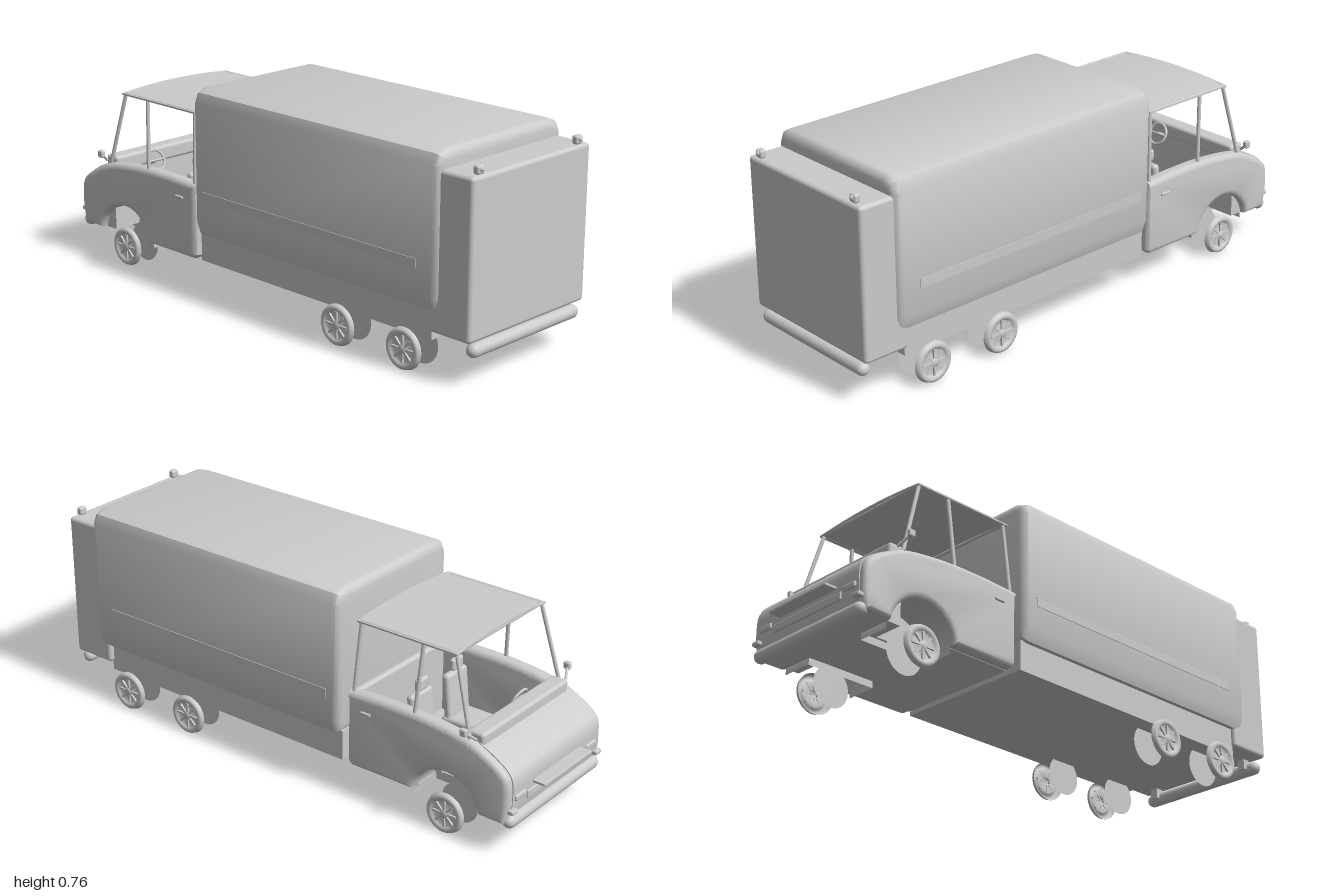
import * as THREE from 'three';
import { toCreasedNormals } from 'three/addons/utils/BufferGeometryUtils.js';
import { RoundedBoxGeometry } from 'three/addons/geometries/RoundedBoxGeometry.js';

const grey = new THREE.MeshStandardMaterial({ color: 0xcccccc });
const greyThin = new THREE.MeshStandardMaterial({ color: 0xcccccc, side: THREE.DoubleSide });

export function createModel() {
  const model = new THREE.Group();

  const add = (name, geometry, x = 0, y = 0, z = 0, parent = model, material = grey) => {
    const mesh = new THREE.Mesh(geometry, material);
    mesh.name = name;
    mesh.position.set(x, y, z);
    parent.add(mesh);
    return mesh;
  };
  // box given by its limits, optionally with rounded edges
  const block = (name, [x0, x1], [y0, y1], [z0, z1], r = 0, parent = model) => {
    const size = [x1 - x0, y1 - y0, z1 - z0];
    const geometry = r ? new RoundedBoxGeometry(...size, 3, r) : new THREE.BoxGeometry(...size);
    return add(name, geometry, (x0 + x1) / 2, (y0 + y1) / 2, (z0 + z1) / 2, parent);
  };
  const rod = (name, a, b, r, parent = model) => {
    const path = new THREE.LineCurve3(new THREE.Vector3(...a), new THREE.Vector3(...b));
    return add(name, new THREE.TubeGeometry(path, 1, r, 8), 0, 0, 0, parent);
  };
  // extrusion centred on its depth, with the bevel kept inside the outline
  const extrude = (shape, depth, bevel, segments = 3) => {
    const g = new THREE.ExtrudeGeometry(shape, {
      depth: depth - 2 * bevel, bevelEnabled: bevel > 0, bevelSize: bevel, bevelOffset: -bevel,
      bevelThickness: bevel, bevelSegments: segments, curveSegments: 20,
    });
    g.translate(0, 0, -(depth - 2 * bevel) / 2);
    return toCreasedNormals(g, 0.6);
  };
  const polygon = (points) => new THREE.Shape(points.map(([a, b]) => new THREE.Vector2(a, b)));

  // ---- cargo body ----
  const half = [[0.288, 0.235], [0.304, 0.28], [0.304, 0.715], [0.289, 0.75], [0.25, 0.765]];
  const section = [...half, ...half.map(([x, y]) => [-x, y]).reverse()];
  add('cargoBox', extrude(polygon(section), 1.14, 0.03), 0, 0, 0.29);
  block('rearCompartment', [-0.29, 0.29], [0.163, 0.703], [0.81, 0.985], 0.014);
  block('chassisSkirt', [-0.272, 0.272], [0.13, 0.24], [-0.275, 0.815]);
  for (const s of [-1, 1]) {
    const side = s > 0 ? 'left' : 'right';
    add(side + 'SideRail', new THREE.BoxGeometry(0.006, 0.033, 1.0), s * 0.3035, 0.383, 0.27);
    // roof edge lamps
    const lamp = new THREE.Group();
    lamp.name = side + 'RearLamp';
    lamp.position.set(s * 0.243, 0.718, 0.966);
    model.add(lamp);
    add('lampBody', new RoundedBoxGeometry(0.032, 0.03, 0.024, 3, 0.008), 0, 0, 0, lamp);
    add('lampLens', new THREE.SphereGeometry(0.009, 12, 8), 0, 0.003, 0.01, lamp);
    add('lampFoot', new THREE.CylinderGeometry(0.006, 0.008, 0.02, 10), 0, -0.015, 0, lamp);
  }

  // ---- bumpers ----
  const bumper = (name, z) => {
    const g = new THREE.CapsuleGeometry(0.024, 0.492, 6, 16).rotateZ(Math.PI / 2);
    add(name, g, 0, 0.131, z);
    for (const s of [-1, 1]) {
      block(name + 'Bracket', s > 0 ? [0.2, 0.23] : [-0.23, -0.2], [0.125, 0.172],
        z > 0 ? [0.93, 0.96] : [-0.935, -0.91]);
    }
  };
  bumper('rearBumper', 0.967);
  bumper('frontBumper', -0.938);

  // ---- cab ----
  const cab = new THREE.Group();
  cab.name = 'cab';
  model.add(cab);
  const axleZ = -0.7, archY = 0.1, archR = 0.135;
  const archA = Math.asin((0.125 - archY) / archR);

  // sides with wheel arches
  const sideShape = new THREE.Shape();
  sideShape.moveTo(-0.3, 0.14);
  sideShape.lineTo(-0.3, 0.405);
  sideShape.splineThru([[-0.45, 0.411], [-0.61, 0.408], [-0.77, 0.388], [-0.86, 0.352], [-0.925, 0.31],
    [-0.946, 0.27], [-0.948, 0.19]].map((p) => new THREE.Vector2(...p)));
  sideShape.lineTo(-0.935, 0.125);
  sideShape.lineTo(axleZ - archR * Math.cos(archA), 0.125);
  sideShape.absarc(axleZ, archY, archR, Math.PI - archA, archA, true);
  sideShape.lineTo(-0.315, 0.125);
  const sideGeometry = extrude(sideShape, 0.056, 0.02).rotateY(-Math.PI / 2);

  // nose between the sides
  const nose = new THREE.Shape();
  nose.moveTo(-0.78, 0.125);
  nose.lineTo(-0.935, 0.125);
  nose.lineTo(-0.95, 0.19);
  nose.splineThru([[-0.95, 0.27], [-0.928, 0.312], [-0.86, 0.356], [-0.78, 0.389]]
    .map((p) => new THREE.Vector2(...p)));
  add('nose', extrude(nose, 0.505, 0).rotateY(-Math.PI / 2), 0, 0, 0, cab);
  block('dashboard', [-0.25, 0.25], [0.35, 0.408], [-0.83, -0.765], 0.012, cab);
  block('backWall', [-0.265, 0.265], [0.13, 0.408], [-0.332, -0.303], 0.012, cab);
  block('floor', [-0.14, 0.14], [0.125, 0.14], [-0.79, -0.31], 0, cab);
  block('grille', [-0.17, 0.17], [0.185, 0.215], [-0.956, -0.94], 0.005, cab);
  block('frontPlate', [-0.145, 0.14], [0.23, 0.24], [-0.998, -0.94], 0.003, cab);

  for (const s of [-1, 1]) {
    const side = s > 0 ? 'left' : 'right';
    const span = (a, b) => (s > 0 ? [a, b] : [-b, -a]);
    add(side + 'CabSide', sideGeometry, s * 0.253, 0, 0, cab);
    block(side + 'FloorEdge', span(0.13, 0.24), [0.125, 0.14], [-0.57, -0.31], 0, cab);
    // wheel well
    const well = new THREE.CylinderGeometry(archR, archR, 0.12, 24, 1, true, 0, Math.PI).rotateZ(Math.PI / 2);
    add(side + 'WheelWell', well, s * 0.19, archY, axleZ, cab, greyThin);
    const wall = new THREE.CircleGeometry(archR, 24, 0, Math.PI).rotateY(Math.PI / 2);
    add(side + 'WellWall', wall, s * 0.13, archY, axleZ, cab, greyThin);
    // window pillars
    rod(side + 'FrontPillar', [s * 0.262, 0.385, -0.785], [s * 0.243, 0.66, -0.71], 0.007, cab);
    rod(side + 'DoorPillar', [s * 0.264, 0.4, -0.567], [s * 0.246, 0.66, -0.585], 0.007, cab);
    rod(side + 'RearPillar', [s * 0.262, 0.4, -0.316], [s * 0.243, 0.66, -0.332], 0.007, cab);
    rod(side + 'RoofRail', [s * 0.245, 0.659, -0.712], [s * 0.245, 0.659, -0.33], 0.006, cab);
    // door mirror, headlamp and indicator
    rod(side + 'MirrorArm', [s * 0.262, 0.39, -0.81], [s * 0.303, 0.425, -0.79], 0.005, cab);
    block(side + 'Mirror', span(0.295, 0.314), [0.413, 0.441], [-0.802, -0.776], 0.007, cab);
    block(side + 'Headlamp', span(0.18, 0.24), [0.205, 0.228], [-0.958, -0.94], 0.007, cab);
    block(side + 'Indicator', span(0.235, 0.268), [0.165, 0.182], [-0.964, -0.93], 0.006, cab);
    block(side + 'DoorHandle', span(0.278, 0.288), [0.34, 0.35], [-0.4, -0.36], 0.003, cab);

    // seats
    const seat = new THREE.Group();
    seat.name = side + 'Seat';
    seat.position.set(s * 0.1, 0, -0.49);
    cab.add(seat);
    block('seatBase', [-0.05, 0.05], [0.14, 0.2], [-0.11, 0.02], 0, seat);
    block('seatCushion', [-0.065, 0.065], [0.2, 0.235], [-0.13, 0.03], 0.014, seat);
    block('seatBack', [-0.06, 0.06], [0.22, 0.39], [0, 0.03], 0.013, seat).rotation.x = 0.1;
    block('headrest', [-0.03, 0.03], [0.395, 0.44], [0.005, 0.027], 0.01, seat);
  }

  // cambered roof and its cross rails
  const roof = new THREE.Shape();
  roof.moveTo(-0.255, 0.655);
  roof.quadraticCurveTo(0, 0.679, 0.255, 0.655);
  roof.lineTo(0.255, 0.661);
  roof.quadraticCurveTo(0, 0.687, -0.255, 0.661);
  add('roof', extrude(roof, 0.4, 0), 0, 0, -0.52, cab);
  rod('windscreenHeader', [-0.245, 0.66, -0.712], [0.245, 0.66, -0.712], 0.006, cab);
  rod('rearHeader', [-0.245, 0.66, -0.332], [0.245, 0.66, -0.332], 0.006, cab);

  // steering wheel
  const steering = new THREE.Group();
  steering.name = 'steeringWheel';
  steering.position.set(-0.09, 0.37, -0.735);
  steering.rotation.x = -0.45;
  cab.add(steering);
  add('steeringRim', new THREE.TorusGeometry(0.04, 0.005, 8, 28), 0, 0, 0, steering);
  rod('steeringSpoke', [-0.04, 0, 0], [0.04, 0, 0], 0.004, steering);
  rod('steeringColumn', [0, 0, 0], [0, 0, -0.06], 0.007, steering);

  // ---- wheels: dished outer face with spokes, plain inner face, no tread ----
  const points = [[0, 0.004], [0.014, 0.004], [0.016, -0.004], [0.044, -0.007], [0.05, 0.001], [0.06, 0.005],
    [0.069, 0.001], [0.073, -0.012]].map((p) => new THREE.Vector2(...p));
  const face = new THREE.LatheGeometry(points, 32).rotateZ(-Math.PI / 2);
  const back = new THREE.CircleGeometry(0.073, 32).rotateY(Math.PI / 2);
  for (const [name, z, x] of [['front', axleZ, 0.273], ['middle', 0.42, 0.3], ['rear', 0.715, 0.3]]) {
    for (const s of [-1, 1]) {
      const wheel = new THREE.Group();
      wheel.name = name + (s > 0 ? 'Left' : 'Right') + 'Wheel';
      wheel.position.set(s * x, 0.079, z);
      if (s < 0) wheel.rotation.y = Math.PI;
      model.add(wheel);
      add('wheelFace', face, 0, 0, 0, wheel, greyThin);
      add('innerFace', back, -0.092, 0, 0, wheel, greyThin);
      for (let i = 0; i < 8; i++) {
        const a = (i * Math.PI) / 4;
        const spoke = add('spoke', new THREE.BoxGeometry(0.008, 0.034, 0.007),
          -0.003, 0.031 * Math.cos(a), 0.031 * Math.sin(a), wheel);
        spoke.rotation.x = a;
      }
    }
  }
  return model;
}
